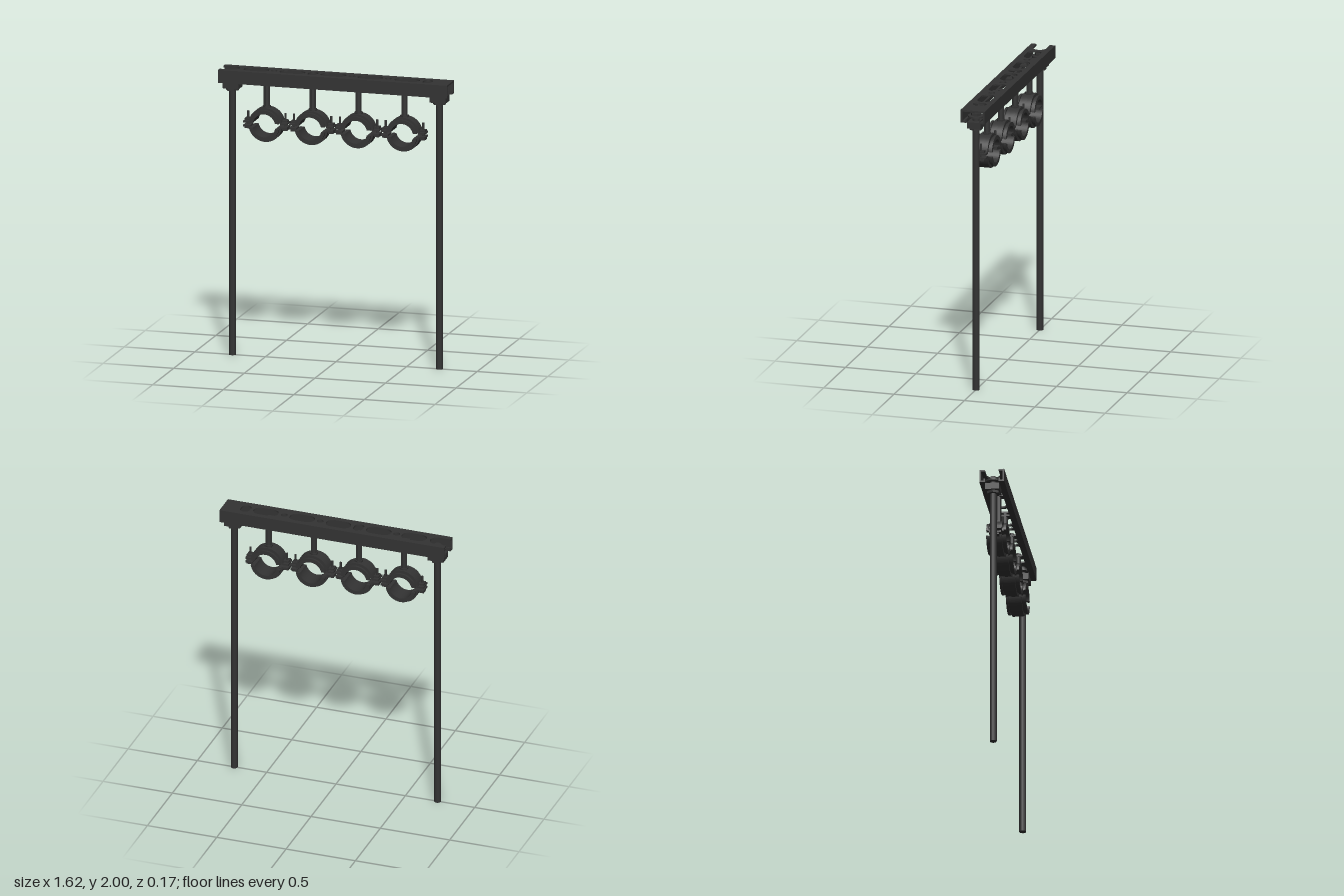
import * as THREE from 'three';

const material = new THREE.MeshStandardMaterial({ color: 0x333333 });

function add(parent, name, geometry, x = 0, y = 0, z = 0) {
  const mesh = new THREE.Mesh(geometry, material);
  mesh.name = name;
  mesh.position.set(x, y, z);
  parent.add(mesh);
  return mesh;
}

const box = (w, h, d) => new THREE.BoxGeometry(w, h, d);

function cylinder(radius, height, sides) {
  const g = new THREE.CylinderGeometry(radius, radius, height, sides);
  return sides <= 8 ? flat(g) : g;
}

function flat(geometry) {
  const g = geometry.toNonIndexed();
  g.computeVertexNormals();
  return g;
}

// Rounded slot lying along x
function slotPath(x0, x1, halfWidth) {
  const r = Math.min(halfWidth, (x1 - x0) / 2);
  const s = halfWidth - r;
  const p = new THREE.Path();
  p.moveTo(x0 + r, -halfWidth);
  p.lineTo(x1 - r, -halfWidth);
  p.absarc(x1 - r, -s, r, -Math.PI / 2, 0, false);
  p.absarc(x1 - r, s, r, 0, Math.PI / 2, false);
  p.absarc(x0 + r, s, r, Math.PI / 2, Math.PI, false);
  p.absarc(x0 + r, -s, r, Math.PI, Math.PI * 1.5, false);
  return p;
}

// Perforated C-channel, open below, with in-turned lips
function createRail() {
  const rail = new THREE.Group();
  rail.name = 'rail';
  const L = 0.81, W = 0.085, t = 0.012, n = 0.047;

  // Top plate: the last slot is cut open at the left-hand end of the plate
  const plate = new THREE.Shape();
  plate.moveTo(-L, -W);
  plate.lineTo(L, -W);
  plate.lineTo(L, W);
  plate.lineTo(-L, W);
  plate.lineTo(-L, n);
  plate.lineTo(-0.68 - n, n);
  plate.absarc(-0.68 - n, 0, n, Math.PI / 2, -Math.PI / 2, true);
  plate.lineTo(-L, -n);
  plate.closePath();
  for (const x of [-0.563, -0.308, -0.018, 0.243, 0.505]) {
    plate.holes.push(slotPath(x - 0.089, x + 0.089, n));
  }
  for (const x of [-0.163, 0.65]) plate.holes.push(slotPath(x - 0.034, x + 0.034, n));
  for (const x of [-0.437, 0.113, 0.372]) {
    plate.holes.push(new THREE.Path().absarc(x, 0, 0.023, 0, Math.PI * 2, false));
  }
  const top = new THREE.ExtrudeGeometry(plate, { depth: t, bevelEnabled: false, curveSegments: 8 });
  top.rotateX(-Math.PI / 2);
  add(rail, 'railTop', top, 0, 2 - t, 0);

  for (const s of [-1, 1]) {
    add(rail, 'railWall', box(2 * L, 0.09 - t, t), 0, 1.949, s * (W - t / 2));
    add(rail, 'railFlange', box(2 * L, t, 0.03), 0, 1.916, s * 0.06);
    add(rail, 'railLip', box(2 * L, 0.025, 0.01), 0, 1.9225, s * 0.05);
  }
  return rail;
}

// Threaded leg with hex nut, washers and clamping plate
function createLeg(x) {
  const leg = new THREE.Group();
  leg.name = 'leg';
  leg.position.x = x;
  add(leg, 'legRod', cylinder(0.024, 1.975, 12), 0, 0.9875, 0);
  const nut = cylinder(0.047, 0.05, 6);
  add(leg, 'hexNut', nut, 0, 1.873, 0).rotation.y = Math.PI / 6;
  add(leg, 'lowerWasher', box(0.115, 0.045, 0.096), 0, 1.8875, 0);
  add(leg, 'upperWasher', cylinder(0.054, 0.012, 24), 0, 1.941, 0);
  add(leg, 'upperNut', cylinder(0.036, 0.018, 6), 0, 1.956, 0);
  return leg;
}

// Half ring around z, trimmed to leave a gap at the joint
function halfRing(inner, outer, width) {
  const a = Math.asin(0.018 / outer), b = Math.asin(0.018 / inner);
  const shape = new THREE.Shape();
  shape.absarc(0, 0, outer, a, Math.PI - a, false);
  shape.absarc(0, 0, inner, Math.PI - b, b, true);
  shape.closePath();
  const g = new THREE.ExtrudeGeometry(shape, { depth: width, bevelEnabled: false, curveSegments: 20 });
  g.translate(0, 0, -width / 2);
  return g;
}

// Two-part pipe clamp hanging from the rail
function createClamp(x) {
  const clamp = new THREE.Group();
  clamp.name = 'pipeClamp';
  clamp.position.set(x, 1.627, 0);

  for (const turn of [0, Math.PI]) {
    const half = new THREE.Group();
    half.name = turn ? 'lowerHalf' : 'upperHalf';
    half.rotation.z = turn;
    add(half, 'metalBand', halfRing(0.094, 0.118, 0.08));
    add(half, 'liner', halfRing(0.08, 0.096, 0.136));
    for (const s of [-1, 1]) {
      add(half, 'linerLip', halfRing(0.09, 0.107, 0.016), 0, 0, s * 0.06);
      add(half, 'ear', box(0.05, 0.012, 0.08), s * 0.13, 0.014, 0);
      add(half, 'earNut', box(0.036, 0.012, 0.05), s * 0.133, 0.029, 0);
    }
    clamp.add(half);
  }
  for (const s of [-1, 1]) {
    add(clamp, 'clampScrew', cylinder(0.008, 0.12, 10), s * 0.132, 0.023, 0);
  }

  // Hanger rod with a boss on the band and a head plate inside the rail
  add(clamp, 'hangerBoss', cylinder(0.03, 0.02, 6), 0, 0.118, 0);
  add(clamp, 'hangerRod', cylinder(0.022, 0.23, 8), 0, 0.22, 0);
  add(clamp, 'hangerHead', box(0.05, 0.012, 0.12), 0, 0.314, 0);
  return clamp;
}

export function createModel() {
  const model = new THREE.Group();
  model.name = 'pipeHangerFrame';
  model.add(createRail());
  for (const s of [-1, 1]) model.add(createLeg(s * 0.733));
  for (let i = 0; i < 4; i++) model.add(createClamp(-0.49 + i * 0.325));
  return model;
}
